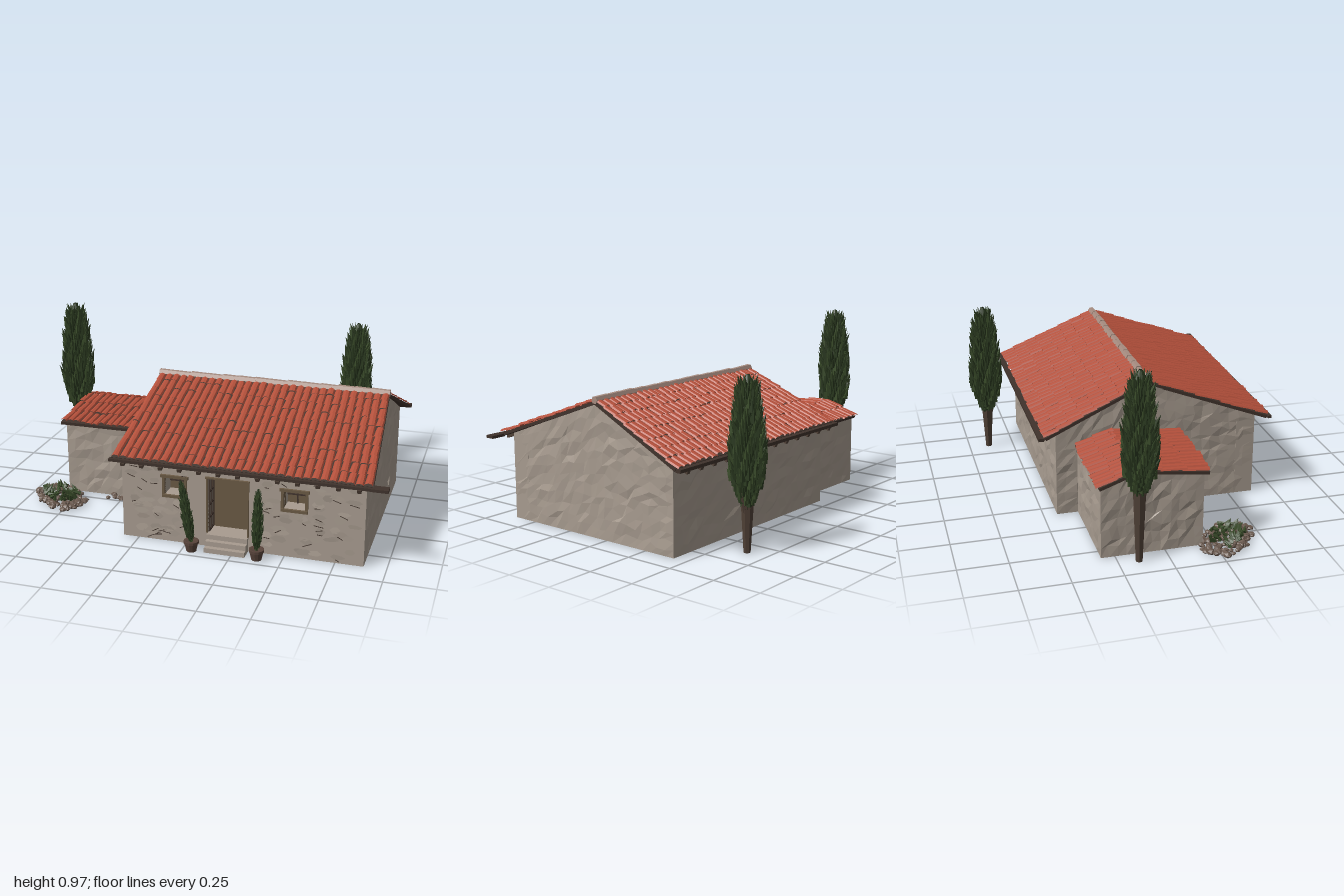
import * as THREE from 'three';
import { mergeGeometries } from 'three/addons/utils/BufferGeometryUtils.js';

const mat = (name, color) => {
  const m = new THREE.MeshStandardMaterial({ color, flatShading: true, side: THREE.DoubleSide });
  m.name = name;
  return m;
};

export function createModel() {
  const M = {
    stone: mat('pale stone', 0xa89c90), tile: mat('terracotta', 0xb4503b), dark: mat('dark wood', 0x40332c),
    ridge: mat('ridge mortar', 0xa68c80), wood: mat('door wood', 0x6b5a45), leaf: mat('cypress green', 0x2b3a20),
    sprig: mat('light green', 0x3a4c2a), bark: mat('bark', 0x4f4036), rock: mat('rubble', 0x6a594e), pot: mat('clay pot', 0x57433a),
  };
  const model = new THREE.Group();
  let seed = 7;
  const rnd = (a = 0, b = 1) => {
    seed = (seed * 16807) % 2147483647;
    return a + (b - a) * seed / 2147483647;
  };
  const lerp = THREE.MathUtils.lerp;
  const add = (name, geo, m) => {
    const list = Array.isArray(geo) ? geo : [geo];
    const mesh = new THREE.Mesh(mergeGeometries(list.map(g => g.index ? g.toNonIndexed() : g)), m);
    mesh.name = name;
    model.add(mesh);
    return mesh;
  };
  // box given by its minimum and maximum corners
  const box = (x0, x1, y0, y1, z0, z1) => new THREE.BoxGeometry(x1 - x0, y1 - y0, z1 - z0)
    .translate((x0 + x1) / 2, (y0 + y1) / 2, (z0 + z1) / 2);

  // rough plastered wall from a to b (x, z), its top following a rule
  const roughWall = (a, b, top, nu, nv) => {
    const g = new THREE.PlaneGeometry(1, 1, nu, nv), p = g.attributes.position;
    const len = Math.hypot(b[0] - a[0], b[1] - a[1]);
    const dx = (b[0] - a[0]) / len, dz = (b[1] - a[1]) / len;
    for (let i = 0; i < p.count; i++) {
      let u = p.getX(i) + 0.5, v = p.getY(i) + 0.5, out = 0;
      if (u > 0.01 && u < 0.99 && v > 0.01 && v < 0.99) {
        u += rnd(-0.3, 0.3) / nu;
        v += rnd(-0.3, 0.3) / nv;
        out = rnd(-0.005, 0.005);
      }
      const z = a[1] + dz * len * u;
      p.setXYZ(i, a[0] + dx * len * u - dz * out, v * top(z), z + dx * out);
    }
    return g;
  };
  const gable = z => z > 0.05 ? lerp(0.665, 0.445, (z - 0.05) / 0.58) : lerp(0.665, 0.445, (0.05 - z) / 0.48);
  const lowGable = z => z > -0.15 ? lerp(0.435, 0.395, (z + 0.15) / 0.34) : lerp(0.435, 0.37, (-0.15 - z) / 0.17);
  add('mainWalls', [
    roughWall([0.89, 0.63], [0.89, -0.43], gable, 22, 12),
    roughWall([0.89, -0.43], [-0.33, -0.43], gable, 22, 9),
    roughWall([-0.33, -0.43], [-0.33, 0.63], gable, 22, 12),
    box(-0.325, 0.885, 0, 0.01, -0.425, 0.63)], M.stone);
  add('annexWalls', [
    roughWall([-0.82, 0.19], [-0.33, 0.19], lowGable, 10, 8),
    roughWall([-0.33, -0.32], [-0.82, -0.32], lowGable, 10, 8),
    roughWall([-0.82, -0.32], [-0.82, 0.19], lowGable, 12, 8),
    box(-0.815, -0.33, 0, 0.01, -0.315, 0.185)], M.stone);

  // front wall with openings
  const rect = (C, x0, x1, y0, y1) => {
    const s = new C();
    s.moveTo(x0, y0); s.lineTo(x1, y0); s.lineTo(x1, y1); s.lineTo(x0, y1); s.closePath();
    return s;
  };
  const openings = [[0.115, 0.315, 0.075, 0.365], [-0.105, -0.005, 0.255, 0.345], [0.495, 0.6, 0.255, 0.345]];
  const front = rect(THREE.Shape, -0.33, 0.89, 0, 0.445);
  openings.forEach(o => front.holes.push(rect(THREE.Path, ...o)));
  add('frontWall', new THREE.ExtrudeGeometry(front, { depth: 0.1, bevelEnabled: false }).translate(0, 0, 0.53), M.stone);

  // raised stones and dark joints on the front wall
  const stones = [], joints = [];
  const clear = (x, y, m) => openings.every(o => x < o[0] - m || x > o[1] + m || y < o[2] - 0.03 || y > o[3] + 0.03);
  for (let i = 0; i < 170; i++) {
    const x = rnd(-0.28, 0.84), y = rnd(0.03, 0.41);
    if (!clear(x, y, 0.05) || (x > 0.06 && x < 0.37 && y < 0.1)) continue;
    const g = new THREE.CircleGeometry(1, 6), p = g.attributes.position;
    for (let k = 1; k < 7; k++) p.setXY(k, p.getX(k) * rnd(0.7, 1.1), p.getY(k) * rnd(0.7, 1.1));
    p.setXY(7, p.getX(1), p.getY(1));
    stones.push(g.scale(rnd(0.025, 0.045), rnd(0.012, 0.024), 1).rotateX(rnd(-0.12, 0.12)).rotateY(rnd(-0.1, 0.1)).translate(x, y, 0.634));
    if (i % 3 === 0) joints.push(new THREE.PlaneGeometry(rnd(0.02, 0.05), 0.004).rotateZ(rnd(-0.6, 0.6)).translate(x, y - 0.015, 0.639));
  }
  add('wallStones', stones, M.stone);
  add('wallJoints', joints, M.dark);

  // door, windows and their frames
  add('openingPanels', openings.map(([a, b, c, d]) => box(a, b, c, d, 0.53, 0.55)), M.wood);
  const frames = [];
  openings.forEach(([a, b, c, d], i) => {
    const w = i ? 0.014 : 0.008;
    frames.push(box(a - w, a, c, d, 0.59, 0.638), box(b, b + w, c, d, 0.59, 0.638), box(a - w * 1.5, b + w * 1.5, d, d + w, 0.59, 0.642));
    if (i) frames.push(box(a - w, b + w, c - w, c, 0.59, 0.642));
  });
  add('openingFrames', frames, M.wood);
  const leaf = [];
  for (let i = 0; i < 5; i++) leaf.push(box(0.118, 0.124, 0.08 + i * 0.068, 0.088 + i * 0.068, 0.55, 0.628));
  for (let i = 0; i < 3; i++) leaf.push(box(0.118, 0.124, 0.08, 0.36, 0.55 + i * 0.035, 0.557 + i * 0.035));
  for (let i = 1; i < 3; i++) leaf.push(box(openings[i][0], openings[i][1], 0.298, 0.304, 0.552, 0.56),
    box(openings[i][0] + 0.048, openings[i][0] + 0.054, 0.255, 0.345, 0.552, 0.56));
  add('openDoorLeafAndWindowBars', leaf, M.dark);
  add('steps', [0, 1, 2].map(i => box(0.115, 0.32, 0, 0.025 * (i + 1), 0.62, 0.705 - 0.025 * i)), M.stone);

  // a roof slope: dark boards covered by rows of curved tiles; xr, xe are the x ranges at ridge and eave
  const slope = (name, ridge, eave, xr, xe, cols, rows) => {
    const dz = eave[0] - ridge[0], dy = eave[1] - ridge[1], len = Math.hypot(dz, dy), side = Math.sign(dz);
    const X = new THREE.Vector3(side, 0, 0), D = new THREE.Vector3(0, dy / len, dz / len), N = D.clone().cross(X);
    const basis = new THREE.Matrix4().makeBasis(X, N, D);
    const at = (u, t, h) => new THREE.Vector3(lerp(lerp(xr[0], xr[1], u), lerp(xe[0], xe[1], u), t),
      ridge[1] + dy * t, ridge[0] + dz * t).addScaledVector(N, h);
    const slab = new THREE.BoxGeometry(1, 1, 1), p = slab.attributes.position;
    for (let i = 0; i < p.count; i++) {
      const q = at(p.getX(i) * side + 0.5, p.getZ(i) + 0.5, p.getY(i) > 0 ? -0.006 : -0.022);
      p.setXYZ(i, q.x, q.y, q.z);
    }
    add(name + 'Boards', slab, M.dark);
    const tiles = [], w = (xr[1] - xr[0]) / cols, step = len / rows;
    for (let c = 0; c < cols; c++) for (let r = 0; r < rows; r++) {
      const g = new THREE.CylinderGeometry(w * 0.5, w * 0.44, step * 1.12, 4, 1, true, Math.PI / 2, Math.PI);
      g.rotateX(Math.PI / 2).scale(1, 0.6, 1).rotateX(-0.06).rotateY(rnd(-0.05, 0.05));
      const q = at((c + 0.5) / cols, (r + 0.5 + rnd(-0.08, 0.08)) / rows, -0.004 + rnd(0, 0.005));
      tiles.push(g.applyMatrix4(basis.clone().setPosition(q)));
    }
    add(name + 'Tiles', tiles, M.tile);
  };
  slope('frontRoof', [0.05, 0.685], [0.69, 0.448], [-0.325, 0.895], [-0.362, 0.928], 31, 10);
  slope('backRoof', [0.05, 0.685], [-0.49, 0.448], [-0.325, 0.895], [-0.355, 0.94], 31, 8);
  slope('annexFrontRoof', [-0.15, 0.452], [0.21, 0.41], [-0.84, -0.335], [-0.845, -0.335], 14, 3);
  slope('annexBackRoof', [-0.15, 0.452], [-0.335, 0.385], [-0.84, -0.335], [-0.84, -0.335], 14, 2);

  // ridge caps
  const caps = [];
  for (let i = 0; i < 14; i++) caps.push(new THREE.CylinderGeometry(0.022, 0.019, 0.093, 6).rotateZ(Math.PI / 2)
    .translate(-0.28 + i * 0.087, 0.682 + rnd(-0.002, 0.002), 0.05 + rnd(-0.002, 0.002)));
  add('ridgeCaps', caps, M.ridge);

  // gutters and rafter ends
  add('gutters', [box(-0.368, 0.94, 0.428, 0.442, 0.69, 0.71), box(0.92, 1, 0.428, 0.442, 0.665, 0.712),
    box(-0.355, 0.945, 0.426, 0.442, -0.52, -0.492)], M.dark);
  const rafters = [];
  for (let i = 0; i < 13; i++) {
    const x = -0.3 + i * 0.097;
    rafters.push(new THREE.BoxGeometry(0.02, 0.018, 0.1).rotateX(0.35).translate(x, 0.432, 0.655),
      new THREE.BoxGeometry(0.02, 0.018, 0.1).rotateX(-0.4).translate(x, 0.432, -0.455));
  }
  add('rafterEnds', rafters, M.bark);

  // cypress foliage: a lathed core bristling with upward sprigs
  const cypress = (name, profile, x, y0, z, count, size, lean = 0) => {
    const pts = profile.map(([r, y]) => new THREE.Vector2(r, y));
    const core = new THREE.LatheGeometry(pts.map(p => new THREE.Vector2(p.x * 0.72, p.y)), 9);
    const sets = [[core], []];
    const top = pts[pts.length - 1].y;
    for (let i = 0; i < count; i++) {
      const y = top * (i + 0.5) / count * 0.93, a = i * 2.4;
      const k = Math.max(1, pts.findIndex(p => p.y >= y));
      const r = lerp(pts[k - 1].x, pts[k].x, (y - pts[k - 1].y) / (pts[k].y - pts[k - 1].y)) * rnd(0.68, 0.92);
      const len = size * rnd(0.8, 1.2);
      sets[i % 3 ? 0 : 1].push(new THREE.ConeGeometry(size * 0.2, len, 4).rotateX(rnd(0.15, 0.45))
        .rotateY(a).translate(r * Math.sin(a), Math.min(y + len * 0.3, top - len * 0.5), r * Math.cos(a)));
    }
    sets.forEach((s, i) => {
      const mesh = add(name + (i ? 'Sprigs' : 'Foliage'), s, i ? M.sprig : M.leaf);
      mesh.position.set(x, y0, z);
      mesh.rotation.z = lean;
    });
  };
  const tall = [[0.015, 0], [0.05, 0.05], [0.09, 0.13], [0.1, 0.22], [0.092, 0.32], [0.078, 0.44], [0.062, 0.53], [0.04, 0.59], [0.012, 0.63]];
  [['leftCypress', -0.89, 0.34, -0.15], ['backCypress', 0.61, 0.21, -0.64]].forEach(([name, x, y, z]) => {
    cypress(name, tall, x, y, z, 420, 0.07);
    add(name + 'Trunk', [new THREE.CylinderGeometry(0.034, 0.017, y + 0.08, 7).translate(x, (y + 0.08) / 2, z),
      new THREE.CylinderGeometry(0.012, 0.01, 0.16, 5).rotateZ(-0.25).translate(x + 0.025, y + 0.02, z),
      new THREE.CylinderGeometry(0.012, 0.01, 0.16, 5).rotateX(0.25).translate(x, y + 0.02, z + 0.025)], M.bark);
  });

  // potted cypresses beside the door
  const small = [[0.01, 0], [0.028, 0.05], [0.031, 0.12], [0.026, 0.2], [0.016, 0.27], [0.003, 0.32]];
  [[0.05, 0.16], [0.38, -0.02]].forEach(([x, lean], i) => {
    const name = i ? 'leftPot' : 'rightPot';
    add(name, new THREE.LatheGeometry([[0, 0], [0.025, 0], [0.034, 0.04], [0.038, 0.042], [0.038, 0.055], [0.03, 0.055], [0, 0.048]]
      .map(p => new THREE.Vector2(...p)), 12).translate(x, 0, 0.7), M.pot);
    cypress(name + 'Plant', small, x, 0.05, 0.7, 110, 0.032, lean);
  });

  // rubble heap with low greenery
  const lump = (x, y, z, s) => new THREE.IcosahedronGeometry(s, 0).scale(rnd(0.8, 1.3), rnd(0.6, 0.9), rnd(0.8, 1.2))
    .rotateY(rnd(0, 6)).translate(x, y, z);
  const rocks = [], tufts = [];
  for (let i = 0; i < 150; i++) {
    const a = rnd(0, 6.283), r = Math.sqrt(rnd());
    const u = r * Math.cos(a) * 0.19, v = r * Math.sin(a) * 0.115;
    const x = -0.815 + u * 0.72 - v * 0.69, z = 0.32 + u * 0.69 + v * 0.72;
    rocks.push(lump(x, 0.012 + 0.035 * (1 - r) * rnd(), z, rnd(0.011, 0.021)));
    if (i % 2) tufts.push(new THREE.ConeGeometry(0.012, 0.035, 4).rotateX(rnd(0.3, 1.2)).rotateY(a)
      .translate(-0.815 + (x + 0.815) * 0.7, 0.045 + rnd(0, 0.012), 0.32 + (z - 0.32) * 0.7));
  }
  for (let i = 0; i < 16; i++) rocks.push(lump(rnd(-0.58, -0.43), 0.009, rnd(0.2, 0.25), rnd(0.01, 0.016)));
  add('rubble', rocks, M.rock);
  add('rubbleGreenery', tufts, M.sprig);
  return model;
}
